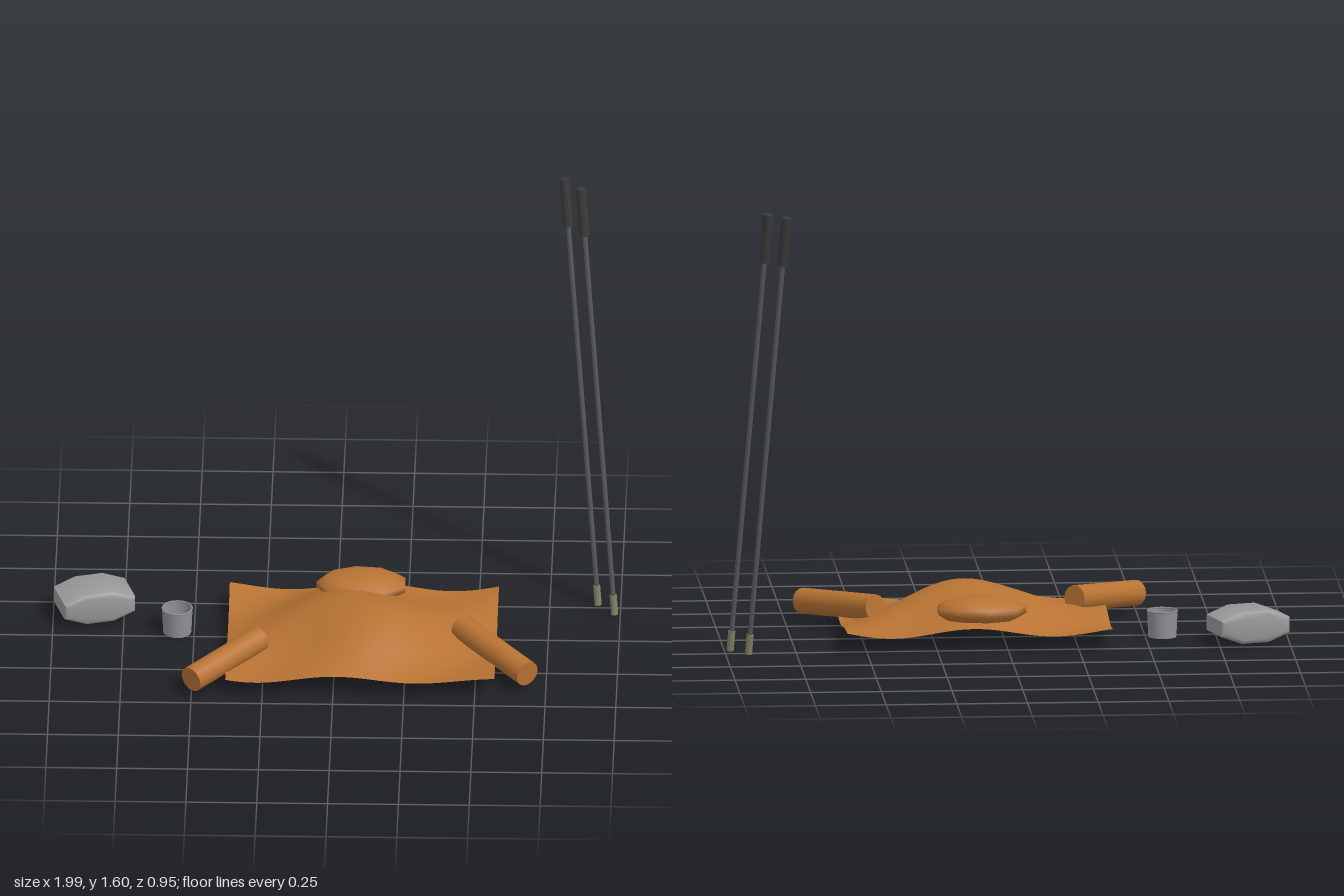
import * as THREE from 'three';
import { toCreasedNormals } from 'three/addons/utils/BufferGeometryUtils.js';

const mat = (color, side = THREE.FrontSide) => new THREE.MeshStandardMaterial({ color, side });
const tan = mat(0xb87333);
const tanSheet = mat(0xb87333, THREE.DoubleSide);
const grey = mat(0x999999);
const cupGrey = mat(0x8f9296, THREE.DoubleSide);
const shaftGrey = mat(0x55585c);
const gripBlack = mat(0x3a3a3a);
const tipMetal = mat(0x857f68);

function mesh(name, geometry, material, parent) {
  const m = new THREE.Mesh(geometry, material);
  m.name = name;
  parent.add(m);
  return m;
}

// Cylinder running between two points
function rod(name, a, b, radiusA, radiusB, sides, material, parent) {
  const dir = b.clone().sub(a);
  const m = mesh(name, new THREE.CylinderGeometry(radiusB, radiusA, dir.length(), sides), material, parent);
  m.position.copy(a).add(b).multiplyScalar(0.5);
  m.quaternion.setFromUnitVectors(new THREE.Vector3(0, 1, 0), dir.normalize());
  return m;
}

// Draped sheet: a central mound, soft diagonal ripples and lifted corners
function makeSheet() {
  const g = new THREE.PlaneGeometry(0.95, 0.71, 32, 24).rotateX(-Math.PI / 2);
  const p = g.attributes.position;
  for (let i = 0; i < p.count; i++) {
    const x = p.getX(i), z = p.getZ(i);
    const mound = 0.157 * Math.exp(-(x * x + z * z) / 0.086);
    const ripple = -0.01 * Math.sin(11.4 * (x + z + 0.18));
    const corner = 0.03 * (x / 0.475) ** 2 * (z / 0.355) ** 2;
    p.setY(i, 0.036 + mound + ripple + corner);
  }
  g.computeVertexNormals();
  return g;
}

// Eight-sided bundle profile, extruded front to back with bevelled ends
function makeBundle() {
  const bevel = 0.014, shape = new THREE.Shape();
  for (let i = 0; i < 8; i++) {
    const a = (i + 0.5) * Math.PI / 4;
    const x = Math.cos(a) * 0.125, y = Math.sin(a) * 0.048;
    if (i === 0) shape.moveTo(x, y); else shape.lineTo(x, y);
  }
  shape.closePath();
  const g = new THREE.ExtrudeGeometry(shape, {
    depth: 0.17 - 2 * bevel, bevelEnabled: true, bevelThickness: bevel, bevelSize: bevel, bevelSegments: 2,
  });
  g.translate(0, 0, -0.085 + bevel);
  return toCreasedNormals(g, 0.9);
}

export function createModel() {
  const model = new THREE.Group();
  model.name = 'campKit';
  const V = (x, y, z) => new THREE.Vector3(x, y, z);

  mesh('sheet', makeSheet(), tanSheet, model).position.set(0.095, 0, 0.085);

  // Cushion sunk into the back of the sheet
  const cushion = mesh('cushion', new THREE.SphereGeometry(1, 9, 7), tan, model);
  cushion.scale.set(0.165, 0.05, 0.105);
  cushion.position.set(0.09, 0.13, -0.162);

  // Rolls resting on the two front corners
  rod('rightRoll', V(-0.5, 0.068, 0.45), V(-0.265, 0.1, 0.195), 0.046, 0.046, 14, tan, model);
  rod('leftRoll', V(0.685, 0.068, 0.38), V(0.447, 0.097, 0.085), 0.046, 0.046, 14, tan, model);

  const bundle = mesh('bundle', makeBundle(), grey, model);
  bundle.position.set(-0.855, 0.068, -0.153);
  bundle.rotation.y = 0.29;

  // Open cup with a closed base and thin rim
  const cup = new THREE.Group();
  cup.name = 'cup';
  cup.position.set(-0.56, 0, -0.035);
  model.add(cup);
  mesh('cupWall', new THREE.CylinderGeometry(0.054, 0.05, 0.095, 16, 1, true), cupGrey, cup).position.y = 0.0495;
  const base = mesh('cupBase', new THREE.CircleGeometry(0.05, 16), cupGrey, cup);
  base.rotation.x = Math.PI / 2;
  base.position.y = 0.002;
  const rim = mesh('cupRim', new THREE.TorusGeometry(0.053, 0.003, 6, 16), cupGrey, cup);
  rim.rotation.x = Math.PI / 2;
  rim.position.y = 0.096;

  // Pair of parallel leaning poles
  for (const [x, z] of [[0.92, -0.27], [0.98, -0.2]]) {
    const pole = new THREE.Group();
    pole.name = 'pole';
    model.add(pole);
    const foot = V(x, 0.003, z), top = V(x - 0.123, 1.603, z - 0.186);
    const at = (t) => foot.clone().lerp(top, t);
    rod('shaft', at(0.02), at(0.95), 0.009, 0.009, 10, shaftGrey, pole);
    rod('tip', at(0), at(0.045), 0.013, 0.013, 10, tipMetal, pole);
    rod('grip', at(0.89), at(1), 0.018, 0.018, 12, gripBlack, pole);
  }

  return model;
}
